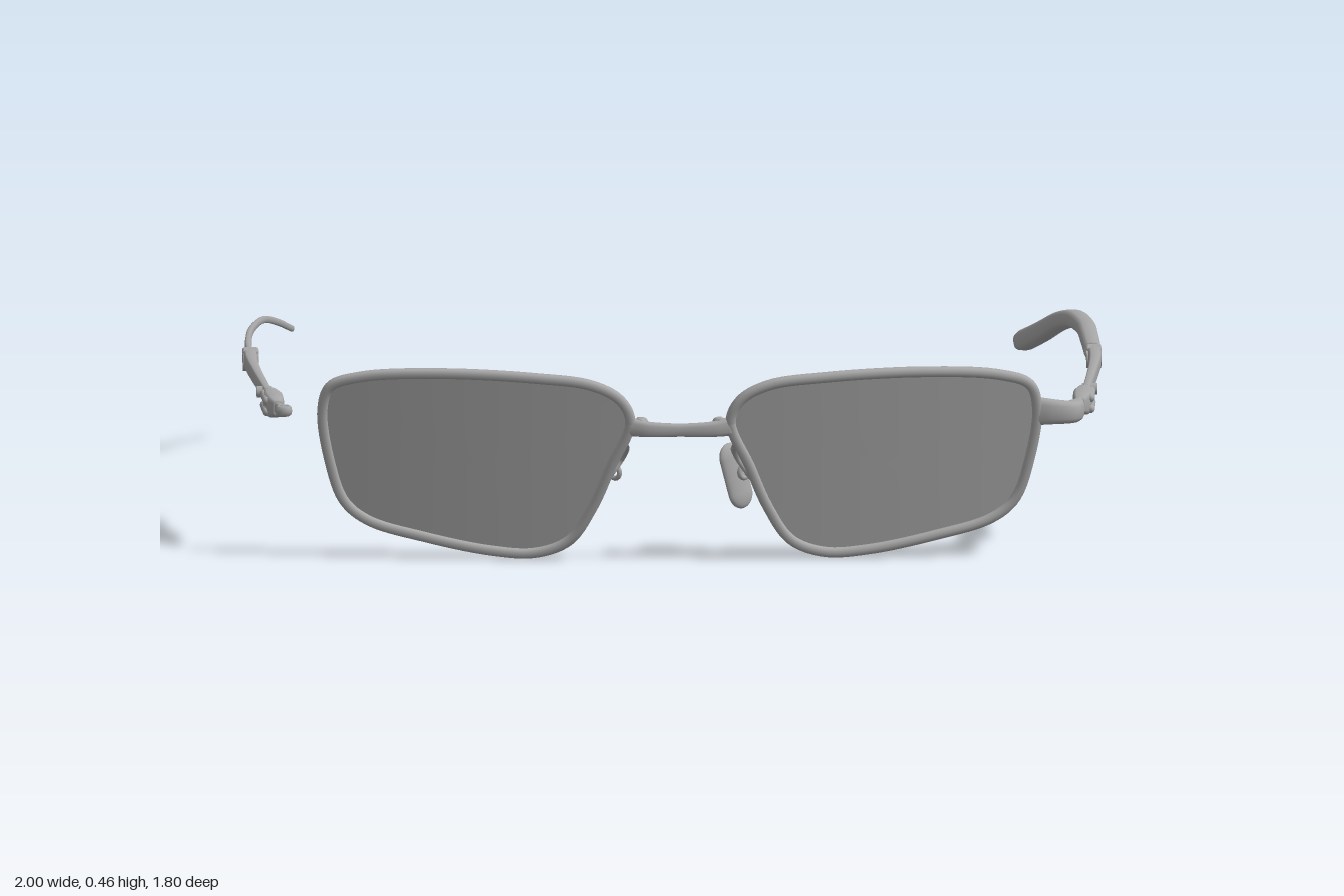
import * as THREE from 'three';
import { RoundedBoxGeometry } from 'three/addons/geometries/RoundedBoxGeometry.js';

const metal = new THREE.MeshStandardMaterial({ color: 0xa6a6a6, side: THREE.DoubleSide });
metal.name = 'grey metal';

const V = (x, y, z) => new THREE.Vector3(x, y, z);

function add(parent, name, geometry, x = 0, y = 0, z = 0) {
  const mesh = new THREE.Mesh(geometry, metal);
  mesh.name = name;
  mesh.position.set(x, y, z);
  parent.add(mesh);
  return mesh;
}

// Sweep a rounded section along points [x, y, z, halfWidth, halfHeight]
function sweep(points, { steps = 40, sides = 16, closed = false, up = V(0, 1, 0), square = 0.7 } = {}) {
  const curve = new THREE.CatmullRomCurve3(points.map(p => V(p[0], p[1], p[2])), closed);
  const pos = [], index = [];
  const n = points.length, span = closed ? n : n - 1;
  const soft = v => Math.sign(v) * Math.pow(Math.abs(v), square);
  const rings = [];
  for (let i = 0; i <= steps; i++) rings.push([i / steps, 1]);
  if (!closed) {
    rings.unshift([0, 0], [0, 0.75]);
    rings.push([1, 0.75], [1, 0]);
  }
  for (const [t, scale] of rings) {
    const c = curve.getPoint(t), tan = curve.getTangent(t);
    const side = up.clone().cross(tan).normalize();
    const top = tan.clone().cross(side);
    const k = Math.min(Math.floor(t * span), span - 1), f = t * span - k;
    const a = points[k], b = points[(k + 1) % n];
    const w = THREE.MathUtils.lerp(a[3], b[3], f) * scale;
    const h = THREE.MathUtils.lerp(a[4], b[4], f) * scale;
    for (let j = 0; j < sides; j++) {
      const q = (j / sides) * Math.PI * 2;
      const p = c.clone().addScaledVector(side, soft(Math.cos(q)) * w).addScaledVector(top, soft(Math.sin(q)) * h);
      pos.push(p.x, p.y, p.z);
    }
  }
  for (let i = 0; i < rings.length - 1; i++) {
    for (let j = 0; j < sides; j++) {
      const a = i * sides + j, b = i * sides + (j + 1) % sides;
      index.push(a, b, a + sides, b, b + sides, a + sides);
    }
  }
  return finish(pos, index);
}

function finish(pos, index) {
  const g = new THREE.BufferGeometry();
  g.setAttribute('position', new THREE.Float32BufferAttribute(pos, 3));
  g.setIndex(index);
  g.computeVertexNormals();
  return g;
}

// Wrapped, tilted surface that both lenses and rims lie on
const faceZ = (x, y) => 0.862 - 0.12 * x * x + 0.16 * (y - 0.23);

const OUTLINE = [
  [0.105, 0.34], [0.128, 0.395], [0.195, 0.433], [0.33, 0.451], [0.57, 0.46], [0.75, 0.447],
  [0.822, 0.42], [0.84, 0.36], [0.822, 0.23], [0.787, 0.13], [0.73, 0.083], [0.6, 0.045],
  [0.435, 0.012], [0.33, 0.008], [0.25, 0.04], [0.195, 0.123], [0.15, 0.23],
];
const CX = 0.48, CY = 0.235;

function lensGeometry(s) {
  const loop = new THREE.CatmullRomCurve3(OUTLINE.map(([x, y]) => V(x, y, 0)), true).getPoints(96).slice(0, 96);
  if (s > 0) loop.reverse();
  const pos = [], index = [], n = loop.length, rings = 8;
  for (let r = 0; r <= rings; r++) {
    for (const p of loop) {
      const k = (r / rings) * 0.965;
      const x = CX + (p.x - CX) * k, y = CY + (p.y - CY) * k;
      pos.push(s * x, y, faceZ(x, y));
    }
  }
  for (let r = 0; r < rings; r++) {
    for (let j = 0; j < n; j++) {
      const a = r * n + j, b = r * n + (j + 1) % n;
      index.push(a, a + n, b, b, a + n, b + n);
    }
  }
  return finish(pos, index);
}

function frameSide(s) {
  const g = new THREE.Group();
  g.name = s > 0 ? 'leftFrame' : 'rightFrame';
  add(g, 'lens', lensGeometry(s));
  const rim = OUTLINE.map(([x, y]) => {
    const px = CX + (x - CX) * 0.97, py = CY + (y - CY) * 0.95;
    return [s * px, py, faceZ(px, py), 0.012, 0.018];
  });
  add(g, 'rim', sweep(rim, { steps: 120, sides: 12, closed: true, up: V(0, 0, 1) }));
  // Lug behind the bridge end and the curled nose pad wire
  add(g, 'bridgeLug', sweep([[s * 0.1, 0.325, 0.885, 0.016, 0.02], [s * 0.088, 0.325, 0.855, 0.014, 0.018],
    [s * 0.092, 0.325, 0.822, 0.012, 0.014]], { steps: 12 }));
  const wire = new THREE.CatmullRomCurve3([V(s * 0.125, 0.275, 0.865), V(s * 0.125, 0.26, 0.825),
    V(s * 0.135, 0.235, 0.795), V(s * 0.16, 0.2, 0.8), V(s * 0.172, 0.185, 0.785), V(s * 0.158, 0.195, 0.768)]);
  add(g, 'padWire', new THREE.TubeGeometry(wire, 28, 0.007, 8));
  const holder = add(g, 'padHolder', new THREE.TorusGeometry(0.014, 0.006, 8, 16), s * 0.15, 0.2, 0.772);
  holder.rotation.y = s * 0.7;
  return g;
}

function temple(s) {
  const g = new THREE.Group();
  g.name = s > 0 ? 'leftTemple' : 'rightTemple';
  // Decorated spring housing
  add(g, 'springHousing', sweep([[s * 0.93, 0.338, 0.68, 0.012, 0.018], [s * 0.936, 0.338, 0.65, 0.022, 0.027],
    [s * 0.94, 0.338, 0.6, 0.024, 0.028], [s * 0.944, 0.338, 0.555, 0.018, 0.027],
    [s * 0.946, 0.338, 0.53, 0.014, 0.024]], { steps: 24, square: 0.5 }));
  for (let i = 0; i < 5; i++) {
    for (const dy of [-0.013, 0.013]) {
      const stud = add(g, 'housingStud', new THREE.SphereGeometry(0.01, 10, 8), s * (0.957 + i * 0.001), 0.338 + dy, 0.65 - i * 0.024);
      stud.scale.x = 0.9;
    }
  }
  // Front bar
  add(g, 'templeBar', sweep([[s * 0.945, 0.338, 0.55, 0.009, 0.015], [s * 0.957, 0.338, 0.4, 0.01, 0.016],
    [s * 0.972, 0.338, 0.2, 0.012, 0.018], [s * 0.98, 0.338, 0.04, 0.015, 0.019],
    [s * 0.979, 0.338, -0.07, 0.016, 0.018]], { steps: 30, square: 0.5 }));
  const screw = add(g, 'barScrew', new THREE.CylinderGeometry(0.014, 0.014, 0.035, 16), s * 0.958, 0.338, 0.45);
  screw.rotation.z = Math.PI / 2;
  // Folding joint
  add(g, 'jointBlock', new RoundedBoxGeometry(0.038, 0.036, 0.05, 2, 0.006), s * 0.979, 0.338, -0.045);
  const pin = add(g, 'jointPin', new THREE.CylinderGeometry(0.022, 0.022, 0.036, 20), s * 0.979, 0.328, -0.03);
  pin.rotation.z = Math.PI / 2;
  return g;
}

export function createModel() {
  const model = new THREE.Group();
  model.name = 'eyeglasses';
  for (const s of [1, -1]) model.add(frameSide(s), temple(s));

  // Bridge
  add(model, 'bridge', sweep([[-0.115, 0.325, 0.878, 0.015, 0.022], [-0.075, 0.32, 0.885, 0.014, 0.018],
    [0, 0.318, 0.885, 0.013, 0.015], [0.075, 0.32, 0.885, 0.014, 0.018], [0.115, 0.325, 0.878, 0.015, 0.022]], { steps: 30 }));

  // Left nose pad
  const pad = add(model, 'nosePad', new THREE.CapsuleGeometry(0.036, 0.085, 8, 20), 0.131, 0.19, 0.762);
  pad.scale.set(1, 1, 0.36);
  pad.rotation.set(0, 0.75, 0.25, 'ZYX');

  // Left end piece joining rim and temple
  add(model, 'endPiece', sweep([[0.825, 0.345, 0.795, 0.018, 0.034], [0.87, 0.343, 0.795, 0.021, 0.029],
    [0.905, 0.34, 0.78, 0.025, 0.026], [0.92, 0.338, 0.74, 0.021, 0.025],
    [0.927, 0.338, 0.69, 0.012, 0.02], [0.932, 0.338, 0.65, 0.011, 0.018]], { steps: 30 }));

  // Right temple ends in a bare hinge eye
  add(model, 'hingeStub', sweep([[-0.932, 0.338, 0.67, 0.01, 0.014], [-0.922, 0.338, 0.705, 0.008, 0.013]], { steps: 6 }));
  const eye = add(model, 'hingeEye', new THREE.TorusGeometry(0.013, 0.007, 8, 18), -0.917, 0.338, 0.712);
  eye.rotation.x = Math.PI / 2;
  eye.scale.z = 1.8;

  // Left ear sleeve, right bare core wire
  add(model, 'earSleeve', sweep([[0.976, 0.34, -0.07, 0.02, 0.02], [0.972, 0.34, -0.25, 0.021, 0.02],
    [0.966, 0.34, -0.4, 0.022, 0.02], [0.945, 0.335, -0.54, 0.023, 0.021], [0.915, 0.31, -0.66, 0.023, 0.022],
    [0.875, 0.267, -0.77, 0.023, 0.024], [0.838, 0.232, -0.86, 0.023, 0.025], [0.828, 0.223, -0.89, 0.019, 0.02]], { steps: 50 }));
  add(model, 'coreWire', sweep([[-0.98, 0.338, -0.06, 0.008, 0.011], [-0.981, 0.338, -0.22, 0.008, 0.01],
    [-0.968, 0.338, -0.42, 0.007, 0.009], [-0.935, 0.33, -0.6, 0.006, 0.008], [-0.9, 0.305, -0.71, 0.006, 0.008],
    [-0.865, 0.275, -0.795, 0.005, 0.007]], { steps: 40, sides: 10 }));
  return model;
}
